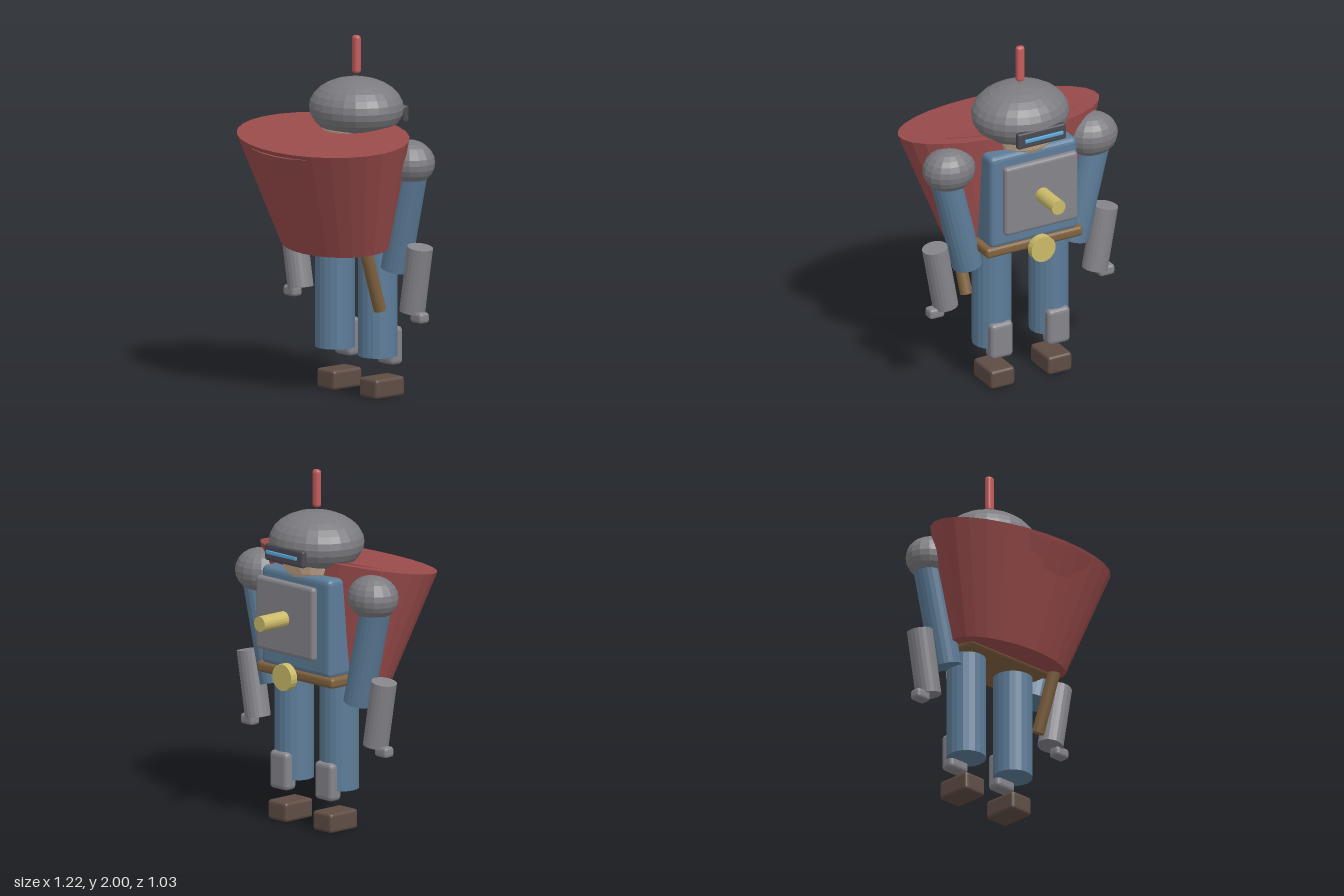
import * as THREE from 'three';
import { RoundedBoxGeometry } from 'three/addons/geometries/RoundedBoxGeometry.js';

const material = (color) => new THREE.MeshStandardMaterial({ color, flatShading: true });
const steel = material(0x7c7b80);
const plate = material(0x85848a);
const cloth = material(0x5c7c98);
const red = material(0x9c4c4c);
const plumeRed = material(0xc45c5c);
const leather = material(0x80623f);
const boot = material(0x5e4c44);
const brass = material(0xcaba68);
const dark = material(0x4a4a52);
const glow = material(0x5aa8dc);
const skin = material(0xd2b497);

const Z = -0.085; // depth of the body's axis

export function createModel() {
  const root = new THREE.Group();

  const add = (name, geometry, mat, x, y, z) => {
    const mesh = new THREE.Mesh(geometry, mat);
    mesh.name = name;
    mesh.position.set(x, y, z);
    root.add(mesh);
    return mesh;
  };
  const box = (name, mat, w, h, d, x, y, z, r = 0.018) =>
    add(name, new RoundedBoxGeometry(w, h, d, 2, Math.min(r, w / 2.2, h / 2.2, d / 2.2)), mat, x, y, z);
  const ball = (name, mat, rx, ry, rz, x, y, z, segments, rings) =>
    add(name, new THREE.SphereGeometry(1, segments, rings).scale(rx, ry, rz), mat, x, y, z);
  const rod = (name, mat, r, length, x, y, z) =>
    add(name, new THREE.CylinderGeometry(r, r, length, 20), mat, x, y, z);

  // Head, helmet and plume
  ball('head', skin, 0.2, 0.2, 0.2, 0, 1.53, Z, 20, 14);
  ball('helmet', steel, 0.278, 0.168, 0.25, 0, 1.597, Z, 24, 14);
  box('plume', plumeRed, 0.05, 0.215, 0.04, 0, 1.8925, Z);
  box('visor', dark, 0.306, 0.095, 0.036, 0, 1.55, -0.32, 0.012);
  box('visorSlit', glow, 0.24, 0.02, 0.012, 0, 1.556, -0.355, 0.003);

  // Torso, breastplate and belt
  box('torso', cloth, 0.55, 0.56, 0.33, 0, 1.16, Z, 0.03);
  box('breastplate', plate, 0.46, 0.415, 0.045, 0, 1.195, -0.312, 0.02);
  rod('chestBoss', brass, 0.043, 0.28, 0, 1.194, -0.38).rotation.x = Math.PI / 2;
  box('belt', leather, 0.61, 0.06, 0.35, 0, 0.862, Z, 0.02);
  rod('buckle', brass, 0.076, 0.045, 0, 0.863, -0.328).rotation.x = Math.PI / 2;

  // Cape: oval frustums leaning outward, with a lining that just shows through
  const frustum = (name, rx, ratio, depth, height, y, z, tilt) => {
    const geometry = new THREE.CylinderGeometry(1, ratio, height, 28).scale(rx, 1, depth);
    add(name, geometry, red, 0, y, z).rotation.x = tilt;
  };
  frustum('cape', 0.607, 0.635, 0.356, 0.625, 1.16, 0.11, 0.15);
  frustum('capeLining', 0.5, 0.6, 0.33, 0.57, 1.177, 0.133, 0.2);

  // Scabbard slanting behind the hip
  rod('scabbard', leather, 0.035, 0.46, 0.303, 0.73, 0.07).rotation.set(0.325, 0, -0.04);

  // Mirrored limbs
  for (const [side, s] of [['left', 1], ['right', -1]]) {
    ball(side + 'Pauldron', steel, 0.152, 0.125, 0.132, s * 0.45, 1.352, Z, 16, 12);
    rod(side + 'UpperArm', cloth, 0.085, 0.6, s * 0.406, 1.03, Z).rotation.z = -s * 0.245;
    rod(side + 'Forearm', plate, 0.072, 0.375, s * 0.505, 0.704, Z).rotation.z = -s * 0.18;
    box(side + 'Hand', plate, 0.095, 0.06, 0.07, s * 0.537, 0.495, -0.083);
    rod(side + 'Leg', cloth, 0.11, 0.63, s * 0.18, 0.547, Z);
    box(side + 'Greave', plate, 0.14, 0.215, 0.085, s * 0.18, 0.283, -0.172, 0.025);
    box(side + 'Boot', boot, 0.15, 0.11, 0.21, s * 0.18, 0.055, -0.115);
  }
  return root;
}
